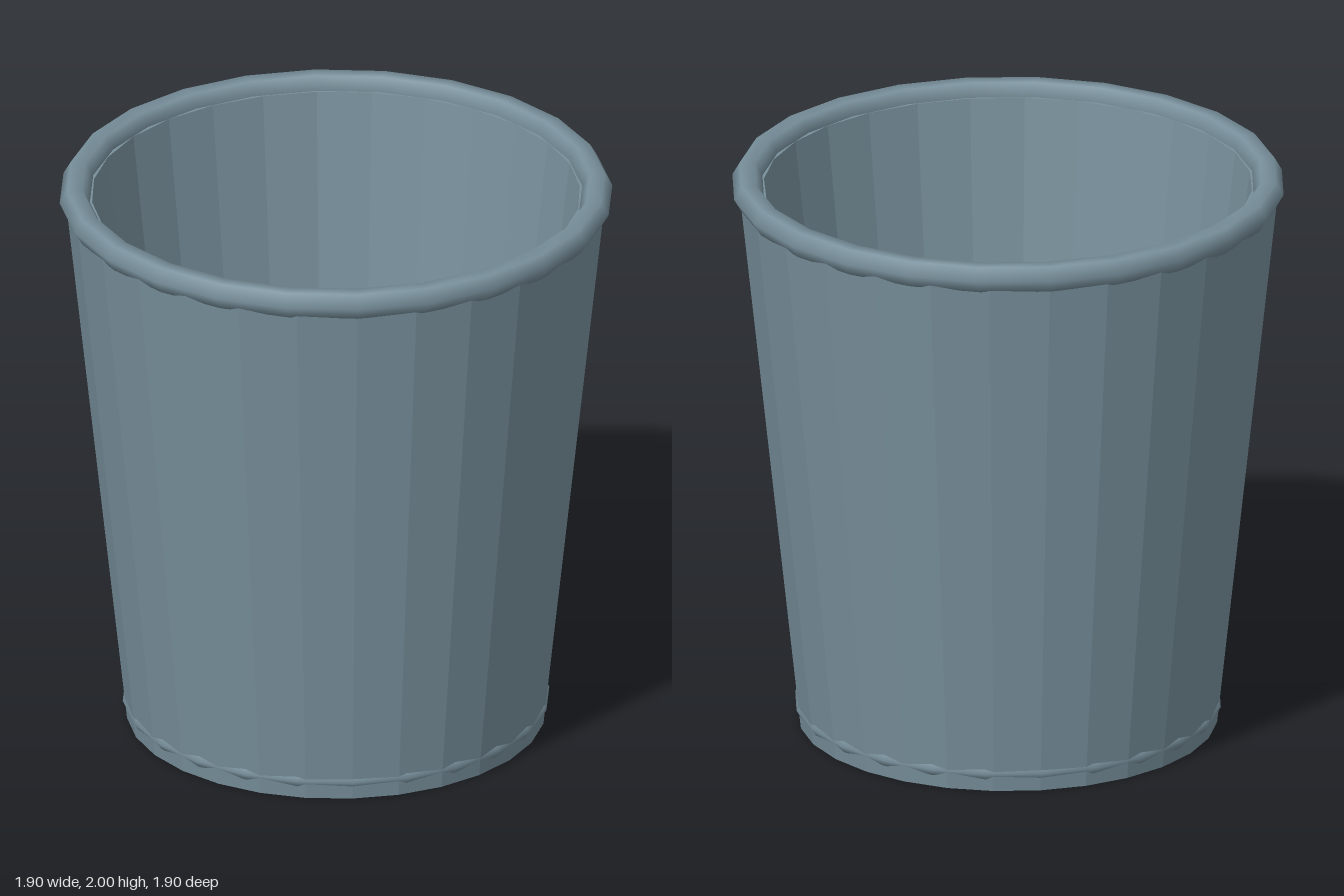
import * as THREE from 'three';

const blueGrey = new THREE.MeshStandardMaterial({ color: 0x78909c });
blueGrey.name = 'blueGrey';

// Smooth six-sided ring lying flat around the y axis
function ring(name, radius, tube, y) {
  const geometry = new THREE.TorusGeometry(radius, tube, 6, 24);
  geometry.rotateX(Math.PI / 2);
  const mesh = new THREE.Mesh(geometry, blueGrey);
  mesh.name = name;
  mesh.position.y = y;
  return mesh;
}

export function createModel() {
  const group = new THREE.Group();
  group.name = 'wasteBin';

  // Hollow tapered body: underside, outer wall, lip, inner wall, floor
  const profile = [
    [0, 0], [0.72, 0], [0.93, 1.955], [0.84, 1.955], [0.62, 0.06], [0, 0.06],
  ].map(([r, y]) => new THREE.Vector2(r, y));
  const bodyGeometry = new THREE.LatheGeometry(profile, 28).toNonIndexed();
  bodyGeometry.computeVertexNormals(); // faceted walls
  const body = new THREE.Mesh(bodyGeometry, blueGrey);
  body.name = 'body';
  group.add(body);

  // Rolled rim and the thin bead near the foot
  group.add(ring('rim', 0.9, 0.052, 1.955));
  group.add(ring('footBead', 0.708, 0.027, 0.065));

  return group;
}
